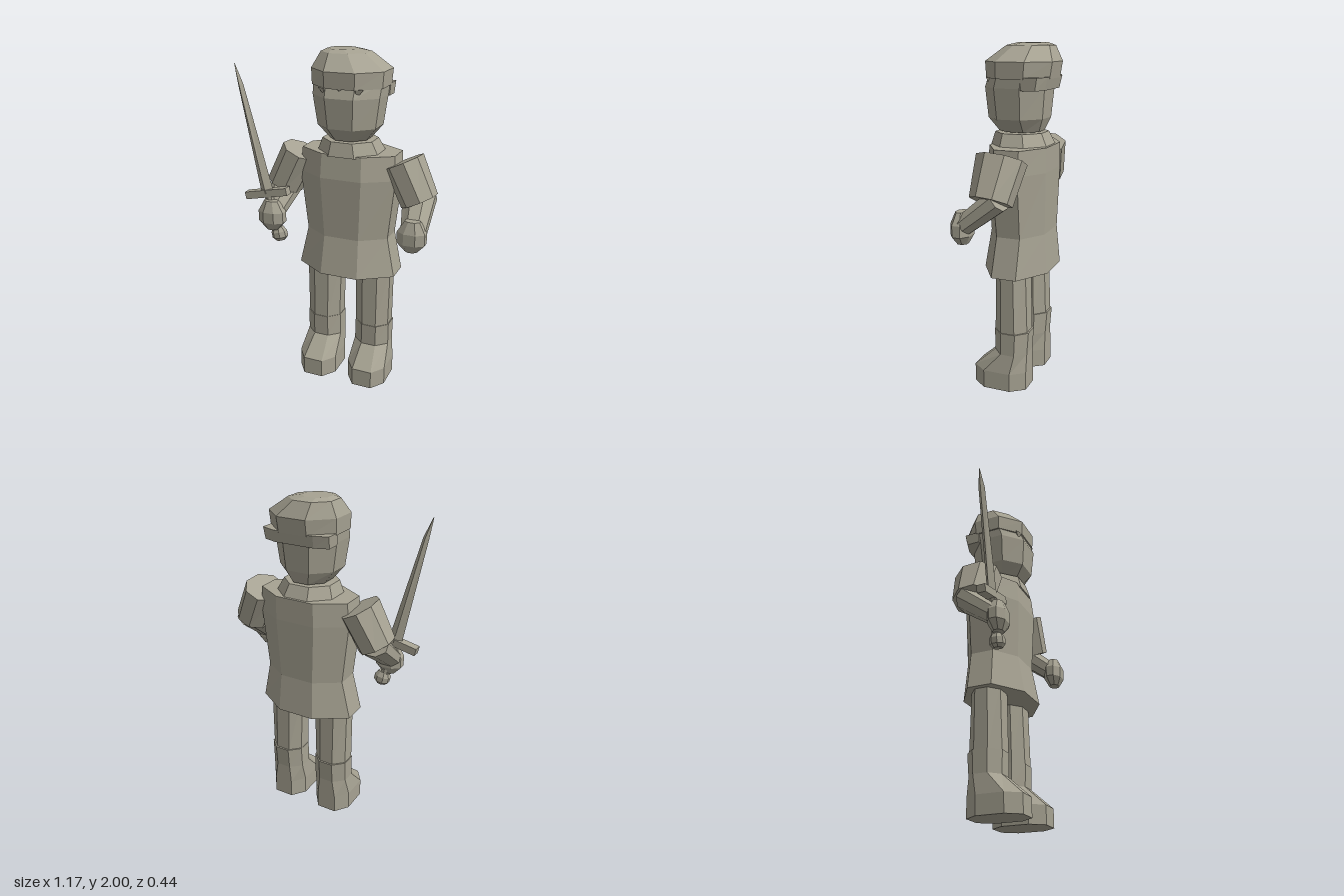
import * as THREE from 'three';

const MID = 0.062; // x of the body's centre line

export function createModel() {
  const model = new THREE.Group();
  const stone = new THREE.MeshStandardMaterial({ color: 0xa6a292, flatShading: true });
  stone.name = 'stone grey';

  const add = (name, geometry, parent = model) => {
    const mesh = new THREE.Mesh(geometry, stone);
    mesh.name = name;
    parent.add(mesh);
    return mesh;
  };

  // Octagon around c, spanned by the half-axes u and v; k is the share of flat side
  const octagon = (c, u, v, k = 0.42) =>
    [[1, -k], [1, k], [k, 1], [-k, 1], [-1, k], [-1, -k], [-k, -1], [k, -1]]
      .map(([a, b]) => c.clone().addScaledVector(u, a).addScaledVector(v, b));

  // Level octagon given by its limits
  const level = ([y, x0, x1, z0, z1, k]) => octagon(
    new THREE.Vector3((x0 + x1) / 2, y, (z0 + z1) / 2),
    new THREE.Vector3((x1 - x0) / 2, 0, 0),
    new THREE.Vector3(0, 0, (z0 - z1) / 2), k);

  // Closed skin through a stack of rings
  const loft = (rings) => {
    const out = [];
    const tri = (...p) => p.forEach((q) => out.push(q.x, q.y, q.z));
    const n = rings[0].length;
    for (let r = 0; r < rings.length - 1; r++) {
      for (let i = 0; i < n; i++) {
        const j = (i + 1) % n, a = rings[r], b = rings[r + 1];
        tri(a[i], a[j], b[j]);
        tri(a[i], b[j], b[i]);
      }
    }
    const low = rings[0], top = rings[rings.length - 1];
    for (let i = 1; i < n - 1; i++) {
      tri(low[0], low[i + 1], low[i]);
      tri(top[0], top[i], top[i + 1]);
    }
    const g = new THREE.BufferGeometry();
    g.setAttribute('position', new THREE.Float32BufferAttribute(out, 3));
    g.computeVertexNormals();
    return g;
  };
  const stack = (name, rows, parent) => add(name, loft(rows.map(level)), parent);

  // Tapered limb between two points; sizes are [half along ref, half across]
  const limb = (name, from, to, ref, size0, size1, parent) => {
    const a = new THREE.Vector3(...from), b = new THREE.Vector3(...to);
    const d = b.clone().sub(a).normalize();
    const u = new THREE.Vector3(...ref);
    u.addScaledVector(d, -u.dot(d)).normalize();
    const v = d.clone().cross(u);
    const ring = (c, s) => octagon(c, u.clone().multiplyScalar(s[0]), v.clone().multiplyScalar(s[1]));
    return add(name, loft([ring(a, size0), ring(b, size1)]), parent);
  };

  // Tunic, collar and neck
  stack('tunic', [
    [0.71, -0.24, 0.365, -0.21, 0.18, 0.38],
    [0.94, -0.19, 0.315, -0.19, 0.14],
    [1.3, -0.23, 0.355, -0.2, 0.155],
    [1.44, -0.22, 0.345, -0.2, 0.14],
  ]);
  stack('collar', [
    [1.43, -0.12, 0.25, -0.19, 0.15],
    [1.51, -0.09, 0.21, -0.15, 0.13],
  ]);
  stack('neck', [
    [1.49, -0.02, 0.145, -0.09, 0.08],
    [1.55, -0.02, 0.145, -0.09, 0.08],
  ]);

  // Head and cap of hair
  stack('head', [
    [1.515, -0.05, 0.175, -0.13, 0.11],
    [1.59, -0.11, 0.237, -0.16, 0.165],
    [1.76, -0.135, 0.26, -0.175, 0.18],
    [1.84, -0.14, 0.265, -0.18, 0.15],
  ]);
  stack('hair', [
    [1.81, -0.146, 0.27, -0.205, 0.17],
    [1.9, -0.15, 0.275, -0.22, 0.175],
    [1.985, -0.115, 0.15, -0.175, 0.08],
    [2.0, -0.085, 0.075, -0.13, 0.03],
  ]);
  stack('backHair', [
    [1.75, -0.14, 0.264, -0.19, -0.05, 0.6],
    [1.82, -0.145, 0.269, -0.206, -0.05, 0.6],
  ]);
  // Pointed fringe below the hair
  [-0.03, 0.06, 0.155].forEach((x) => {
    const tooth = add('fringe', new THREE.ConeGeometry(0.04, 0.045, 4));
    tooth.rotation.x = Math.PI;
    tooth.scale.z = 0.5;
    tooth.position.set(x, 1.79, 0.15);
  });

  // Legs, boots and arms, mirrored about the centre line
  [1, -1].forEach((s) => {
    const side = s > 0 ? 'left' : 'right';
    const X = (x) => MID + s * (x - MID);
    const leg = new THREE.Group();
    leg.name = side + 'Leg';
    const row = (y, inner, outer, z0, z1, k) => {
      const a = X(inner), b = X(outer);
      return [y, Math.min(a, b), Math.max(a, b), z0, z1, k];
    };
    stack('trouserLeg', [
      row(0.35, 0.118, 0.325, -0.12, 0.08),
      row(0.75, 0.108, 0.33, -0.11, 0.07),
    ], leg);
    stack('boot', [
      row(0, 0.105, 0.345, -0.12, 0.207, 0.5),
      row(0.11, 0.105, 0.345, -0.12, 0.207, 0.5),
      row(0.225, 0.112, 0.33, -0.12, 0.08),
      row(0.36, 0.115, 0.33, -0.13, 0.083),
    ], leg);

    const arm = new THREE.Group();
    arm.name = side + 'Arm';
    limb('sleeve', [X(0.38), 1.4, -0.02], [X(0.485), 1.185, 0], [0, 0, 1],
      [0.135, 0.104], [0.112, 0.1], arm);
    limb('forearm', [X(0.475), 1.2, -0.04], [X(0.5), 1.05, 0.15], [1, 0, 0],
      [0.095, 0.065], [0.07, 0.055], arm);
    stack('hand', [
      row(0.945, 0.46, 0.53, 0.135, 0.195),
      row(0.995, 0.415, 0.575, 0.11, 0.22),
      row(1.06, 0.415, 0.575, 0.11, 0.22),
      row(1.125, 0.455, 0.54, 0.135, 0.195),
    ], arm);
    model.add(leg, arm);
  });

  // Sword leaning outward from the right hand
  const sword = new THREE.Group();
  sword.name = 'sword';
  sword.position.set(-0.41, 1.16, 0.143);
  sword.rotation.z = 0.21;
  const diamond = (y, x0, x1, t) => [
    new THREE.Vector3(x1, y, 0), new THREE.Vector3((x0 + x1) / 2, y, -t),
    new THREE.Vector3(x0, y, 0), new THREE.Vector3((x0 + x1) / 2, y, t),
  ];
  add('blade', loft([
    diamond(0, -0.04, 0.043, 0.028),
    diamond(0.65, -0.026, 0.008, 0.02),
    diamond(0.77, -0.02, -0.016, 0.003),
  ]), sword);
  add('guard', new THREE.BoxGeometry(0.28, 0.045, 0.052), sword);
  const grip = add('grip', new THREE.CylinderGeometry(0.026, 0.026, 0.25, 8), sword);
  grip.position.set(0.01, -0.12, 0);
  stack('pommel', [
    [-0.3, -0.01, 0.046, -0.025, 0.025],
    [-0.28, -0.027, 0.063, -0.04, 0.04],
    [-0.245, -0.027, 0.063, -0.04, 0.04],
    [-0.215, -0.01, 0.046, -0.025, 0.025],
  ], sword);
  model.add(sword);

  return model;
}
